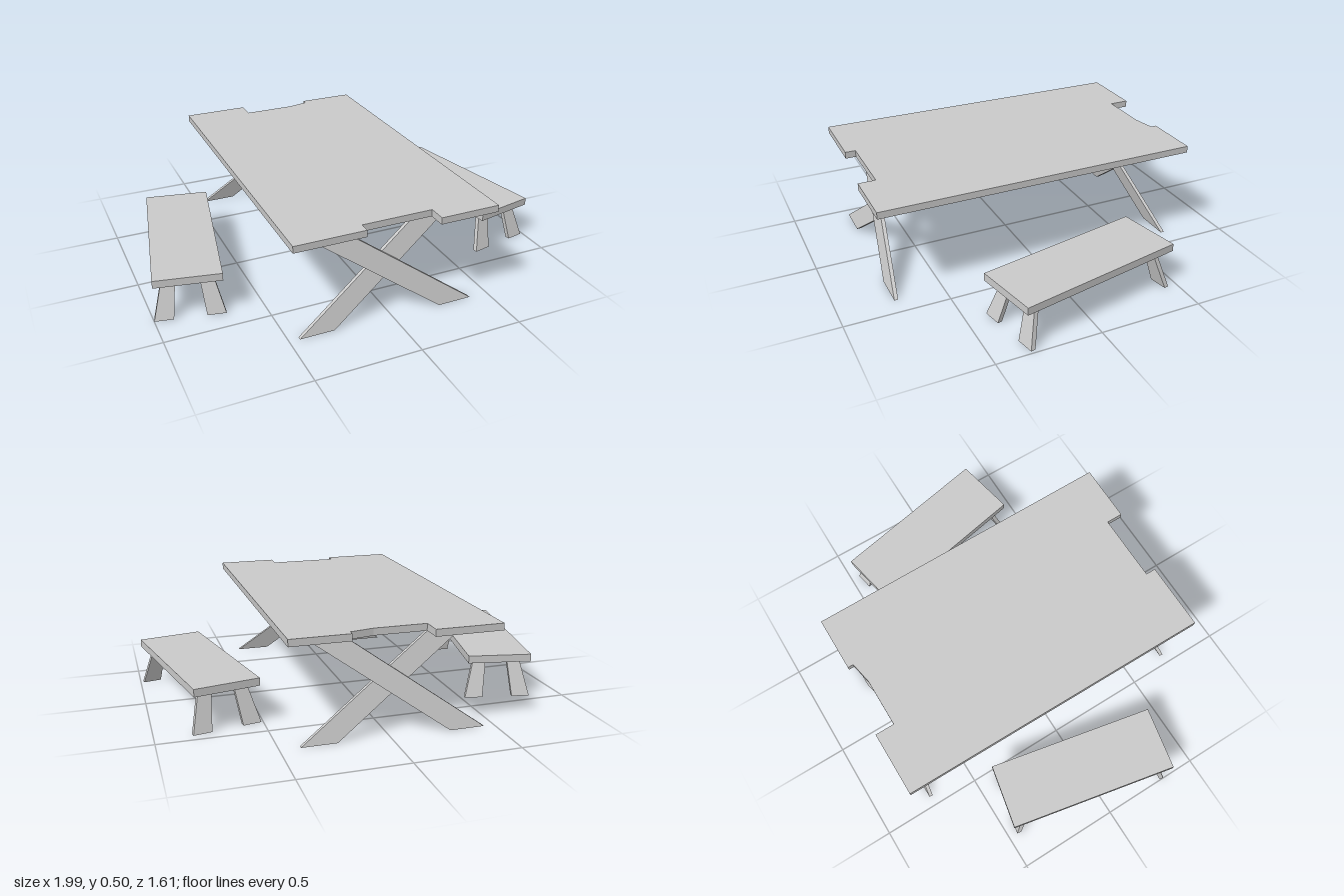
import * as THREE from 'three';

const material = new THREE.MeshStandardMaterial({ color: 0xcccccc, flatShading: true });

function mesh(name, geometry) {
  const m = new THREE.Mesh(geometry, material);
  m.name = name;
  return m;
}

// Slanted board: a box whose lower and upper faces are the rectangles
// [x0, x1, z0, z1] placed at heights y0 and y1.
function slantedBoard(name, y0, lower, y1, upper) {
  const geometry = new THREE.BoxGeometry(1, 1, 1);
  const p = geometry.attributes.position;
  for (let i = 0; i < p.count; i++) {
    const isTop = p.getY(i) > 0;
    const r = isTop ? upper : lower;
    p.setXYZ(i, r[p.getX(i) > 0 ? 1 : 0], isTop ? y1 : y0, r[p.getZ(i) > 0 ? 3 : 2]);
  }
  geometry.computeVertexNormals();
  return mesh(name, geometry);
}

// Mirrors a [min, max] range when the sign is negative
const range = (a, b, sign) => (sign > 0 ? [a, b] : [-b, -a]);

// Table top with uneven plank ends
function createTableTop() {
  const outline = [
    [-0.485, -0.81], [-0.165, -0.81], [-0.165, -0.715], [0.08, -0.715],
    [0.19, -0.737], [0.19, -0.765], [0.465, -0.765], [0.47, 0.803],
    [0.18, 0.803], [0.18, 0.72], [-0.16, 0.72], [-0.16, 0.77], [-0.495, 0.77],
  ];
  const shape = new THREE.Shape(outline.map(([x, z]) => new THREE.Vector2(x, -z)));
  const geometry = new THREE.ExtrudeGeometry(shape, { depth: 0.033, bevelEnabled: false });
  geometry.rotateX(-Math.PI / 2).translate(0, 0.472, 0);
  return mesh('tableTop', geometry);
}

// Two boards side by side, crossing in an X and leaning inwards
function createCrossLegs(name) {
  const group = new THREE.Group();
  group.name = name;
  group.add(
    slantedBoard('outerCrossBoard', 0, [0.262, 0.428, 0.72, 0.738], 0.472, [-0.4, -0.232, 0.609, 0.627]),
    slantedBoard('innerCrossBoard', 0, [-0.428, -0.262, 0.702, 0.72], 0.472, [0.232, 0.4, 0.591, 0.609]),
  );
  group.position.x = -0.022;
  return group;
}

// Bench with four tapered, splayed legs
function createBench(name) {
  const group = new THREE.Group();
  group.name = name;
  const seat = mesh('benchSeat', new THREE.BoxGeometry(0.312, 0.037, 0.832));
  seat.position.y = 0.2035;
  group.add(seat);
  for (const sx of [-1, 1]) {
    for (const sz of [-1, 1]) {
      group.add(slantedBoard('benchLeg',
        0, [...range(0.075, 0.163, sx), ...range(0.38, 0.402, sz)],
        0.186, [...range(0.053, 0.115, sx), ...range(0.328, 0.35, sz)]));
    }
  }
  return group;
}

export function createModel() {
  const model = new THREE.Group();
  model.name = 'picnicTableSet';
  model.add(createTableTop());

  const frontLegs = createCrossLegs('frontCrossLegs');
  const backLegs = createCrossLegs('backCrossLegs');
  backLegs.rotation.y = Math.PI;
  model.add(frontLegs, backLegs);

  // Benches angled towards each other at the back
  const leftBench = createBench('leftBench');
  leftBench.position.set(0.748, 0, -0.029);
  leftBench.rotation.y = 0.2;
  const rightBench = createBench('rightBench');
  rightBench.position.set(-0.76, 0, -0.029);
  rightBench.rotation.y = -0.2;
  model.add(leftBench, rightBench);
  return model;
}
